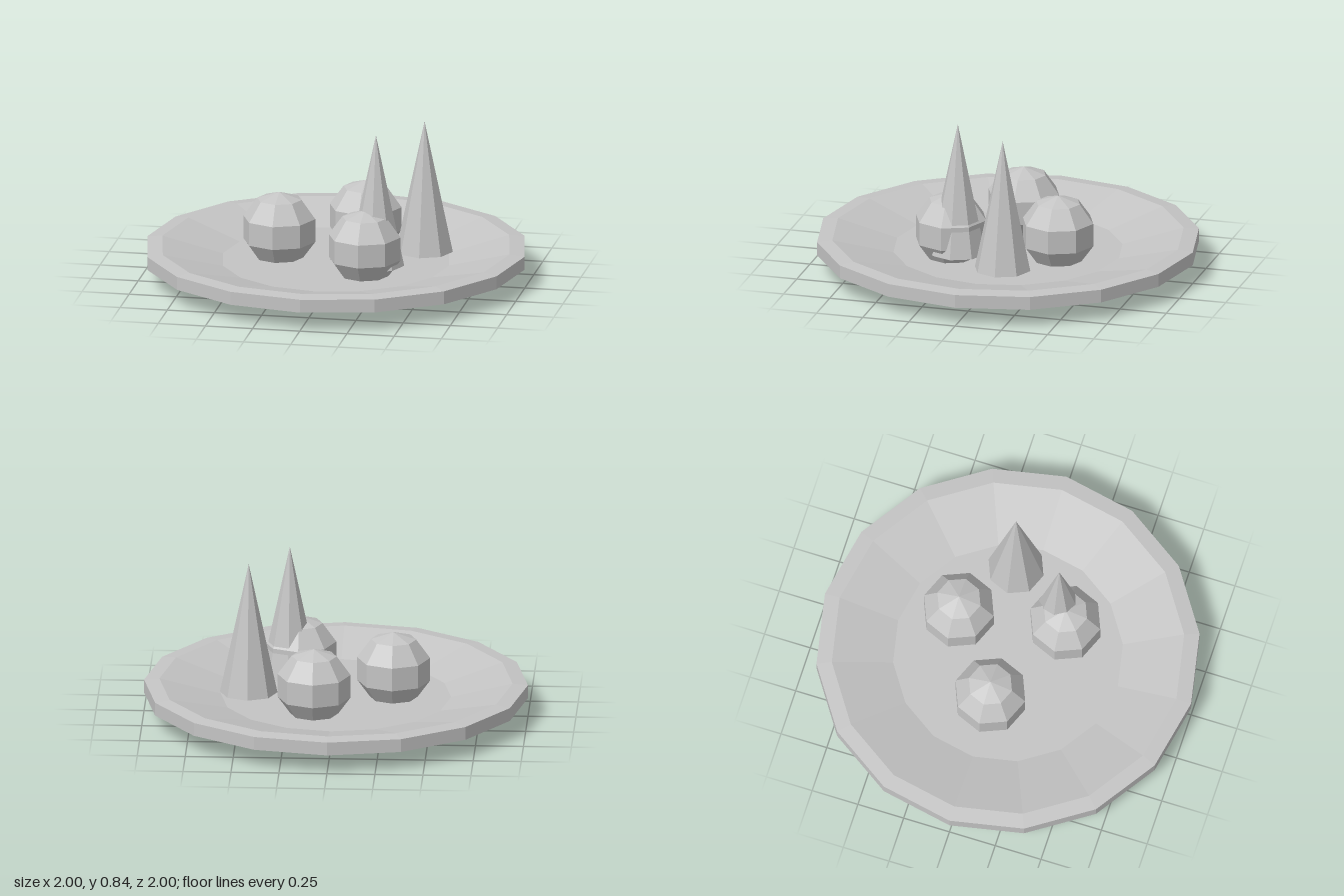
import * as THREE from 'three';

export function createModel() {
  const model = new THREE.Group();
  const grey = new THREE.MeshStandardMaterial({ color: 0xc4c4c4, flatShading: true });
  grey.name = 'plain grey';

  const add = (name, geometry, x = 0, y = 0, z = 0) => {
    const mesh = new THREE.Mesh(geometry, grey);
    mesh.name = name;
    mesh.position.set(x, y, z);
    model.add(mesh);
  };

  // Shallow sixteen-sided plate: base, flared underside, rim, sloping well
  const profile = [[0, 0], [0.6, 0], [1, 0.1], [1, 0.17], [0.92, 0.178], [0.6, 0.1], [0, 0.1]]
    .map(([r, y]) => new THREE.Vector2(r, y));
  add('plate', new THREE.LatheGeometry(profile, 16));

  // Round pieces resting in the well
  const ball = new THREE.SphereGeometry(0.2, 8, 5);
  [[-0.3, 0], [0.1, -0.3], [0.2, 0.25]].forEach(([x, z], i) => add(`ball${i + 1}`, ball, x, 0.25, z));

  // Tall pointed pieces
  const cone = new THREE.ConeGeometry(0.15, 0.7, 8);
  [[0.45, -0.1], [0.25, 0.2]].forEach(([x, z], i) => add(`cone${i + 1}`, cone, x, 0.495, z));

  return model;
}
